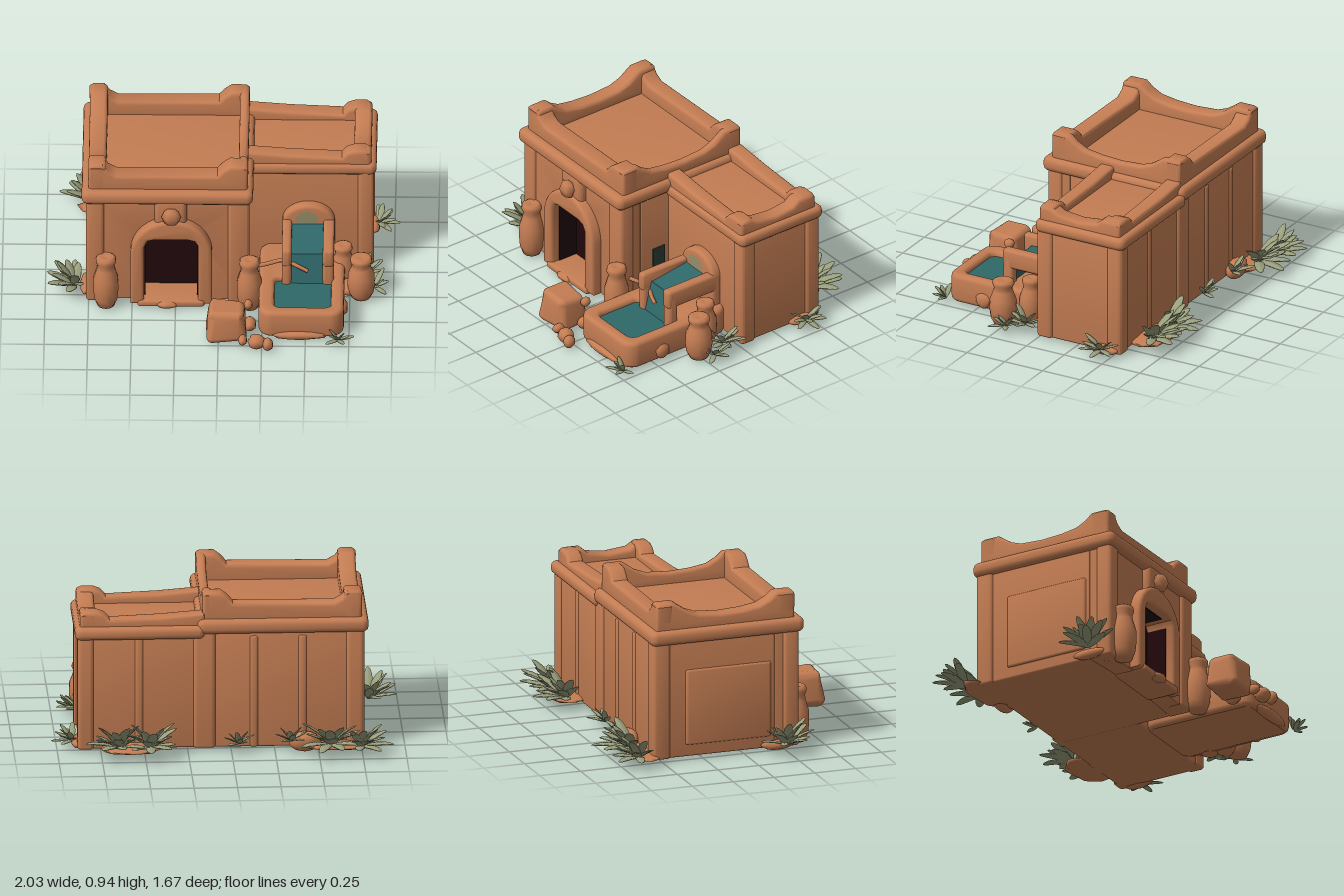
import * as THREE from 'three';
import { toCreasedNormals, mergeVertices } from 'three/addons/utils/BufferGeometryUtils.js';
import { RoundedBoxGeometry } from 'three/addons/geometries/RoundedBoxGeometry.js';

export function createModel() {
  const root = new THREE.Group();
  root.name = 'adobeHouse';
  const mat = (name, color) => {
    const m = new THREE.MeshStandardMaterial({ color });
    m.name = name;
    return m;
  };
  const clay = mat('clay', 0xc47d53), dark = mat('doorwayDark', 0x20080c), shade = mat('recessShade', 0x2d3a36);
  const water = mat('water', 0x2f6869), leaf = mat('sageLeaf', 0x9a9f7c), moss = mat('moss', 0x968d68);

  const add = (name, geo, m = clay, parent = root) => {
    const mesh = new THREE.Mesh(geo, m);
    mesh.name = name;
    parent.add(mesh);
    return mesh;
  };
  // Softly bevelled extrusion of a shape, starting at depth 0
  const soft = (shape, depth, b) => toCreasedNormals(new THREE.ExtrudeGeometry(shape, {
    depth: depth - 2 * b, bevelSize: b, bevelThickness: b, bevelOffset: -b, bevelSegments: 3, curveSegments: 8,
  }).translate(0, 0, b), 0.75);
  const rounded = (x0, x1, z0, z1, r, S = THREE.Shape) => {
    const s = new S(), y0 = -z1, y1 = -z0;
    s.moveTo(x0 + r, y0).lineTo(x1 - r, y0).absarc(x1 - r, y0 + r, r, -Math.PI / 2, 0);
    s.lineTo(x1, y1 - r).absarc(x1 - r, y1 - r, r, 0, Math.PI / 2);
    s.lineTo(x0 + r, y1).absarc(x0 + r, y1 - r, r, Math.PI / 2, Math.PI);
    s.lineTo(x0, y0 + r).absarc(x0 + r, y0 + r, r, Math.PI, Math.PI * 1.5);
    return s;
  };
  // Rounded block given by its extents
  const slab = (name, x0, x1, y0, y1, z0, z1, r = 0.025, b = 0.012) =>
    add(name, soft(rounded(x0, x1, z0, z1, r), y1 - y0, b).rotateX(-Math.PI / 2).translate(0, y0, 0));
  const poly = pts => new THREE.Shape(pts.map(p => new THREE.Vector2(...p)));
  // Profile in x/y run along z, or profile in z/y run along x
  const alongZ = (name, shape, z0, z1, b = 0.02) => add(name, soft(shape, z1 - z0, b).translate(0, 0, z0));
  const alongX = (name, shape, x0, x1, b = 0.02) =>
    add(name, soft(shape, x1 - x0, b).rotateY(-Math.PI / 2).translate(x1, 0, 0));

  // Main block with a door opening in its front wall
  slab('mainBody', -0.75, 0.165, 0.03, 0.74, -0.545, 0.2);
  const opening = [[-0.12, 0.04], [-0.12, 0.44], [-0.14, 0.475], [-0.18, 0.485], [-0.37, 0.485], [-0.41, 0.475], [-0.43, 0.43], [-0.43, 0.04]];
  alongZ('frontWall', poly([[-0.75, 0.03], [-0.75, 0.74], [0.165, 0.74], [0.165, 0.03], ...opening]), 0.19, 0.32, 0.004);
  add('doorwayShade', new THREE.BoxGeometry(0.32, 0.46, 0.008).translate(-0.275, 0.27, 0.205), dark);
  for (const x of [-0.428, -0.122])
    add('doorwayLining', new THREE.BoxGeometry(0.009, 0.38, 0.13).translate(x, 0.25, 0.265), dark);
  add('doorwayLining', new THREE.BoxGeometry(0.21, 0.009, 0.13).translate(-0.275, 0.482, 0.265), dark);
  slab('doorStep', -0.47, -0.08, 0.03, 0.07, 0.19, 0.395);
  const arch = new THREE.Shape();
  arch.moveTo(-0.04, 0.04).lineTo(-0.04, 0.38).absarc(-0.275, 0.38, 0.235, 0, Math.PI).lineTo(-0.51, 0.04);
  [...opening].reverse().forEach(p => arch.lineTo(...p));
  alongZ('doorArch', arch, 0.29, 0.385, 0.02);
  slab('keystone', -0.37, -0.185, 0.56, 0.74, 0.28, 0.365, 0.03);
  add('doorOrnament', new THREE.SphereGeometry(0.057, 6, 4).scale(1, 1, 0.75).translate(-0.275, 0.655, 0.385));

  // Corner pilasters and back ribs
  for (const [x0, x1, z0, z1, top] of [
    [-0.765, -0.66, 0.24, 0.338, 0.74], [0.05, 0.175, 0.24, 0.338, 0.74],
    [-0.765, -0.66, -0.56, -0.45, 0.74], [0.09, 0.22, -0.56, -0.5, 0.74],
    [0.79, 0.885, -0.1, 0.002, 0.72], [0.79, 0.885, -0.56, -0.46, 0.72],
    [-0.44, -0.38, -0.553, -0.5, 0.7], [-0.16, -0.1, -0.553, -0.5, 0.7], [0.5, 0.56, -0.553, -0.5, 0.7],
  ]) slab('pilaster', x0, x1, 0.03, top, z0, z1);
  slab('leftPanel', -0.762, -0.7, 0.1, 0.55, -0.36, 0.17);

  // Side block
  slab('sideBody', 0.15, 0.87, 0.03, 0.72, -0.545, -0.01);

  // Cornices double as the roof floors
  slab('mainCornice', -0.79, 0.195, 0.715, 0.8, -0.575, 0.365, 0.04, 0.03);
  slab('sideCornice', 0.15, 0.9, 0.69, 0.765, -0.58, 0.012, 0.04, 0.028);

  // Parapets swept up to raised corners
  const mainFront = poly([[-0.75, 0.78], [-0.755, 0.94], [-0.735, 0.955], [-0.67, 0.955], [-0.635, 0.91], [-0.59, 0.885],
    [-0.01, 0.89], [0.02, 0.925], [0.06, 0.955], [0.145, 0.955], [0.165, 0.94], [0.165, 0.78]]);
  alongZ('mainFrontParapet', mainFront, 0.2, 0.315);
  alongZ('mainBackParapet', mainFront, -0.535, -0.43);
  const mainSide = poly([[0.315, 0.78], [0.315, 0.94], [0.29, 0.955], [0.2, 0.955], [0.16, 0.92], [0.1, 0.888], [0, 0.872],
    [-0.13, 0.865], [-0.27, 0.874], [-0.34, 0.9], [-0.42, 0.955], [-0.51, 0.955], [-0.535, 0.94], [-0.535, 0.78]]);
  alongX('mainLeftParapet', mainSide, -0.752, -0.65);
  alongX('mainRightParapet', mainSide, 0.11, 0.165);
  const sideFront = poly([[0.15, 0.74], [0.15, 0.835], [0.4, 0.815], [0.7, 0.802], [0.73, 0.835], [0.77, 0.85],
    [0.84, 0.85], [0.868, 0.83], [0.87, 0.74]]);
  alongZ('sideFrontParapet', sideFront, -0.1, -0.005);
  alongZ('sideBackParapet', sideFront, -0.54, -0.44);
  alongX('sideEndParapet', poly([[-0.005, 0.74], [-0.005, 0.83], [-0.03, 0.847], [-0.08, 0.847], [-0.13, 0.815], [-0.26, 0.8],
    [-0.38, 0.815], [-0.42, 0.847], [-0.51, 0.847], [-0.54, 0.83], [-0.54, 0.74]]), 0.77, 0.87);

  // Pool with a solid ledge behind the basin
  const rim = rounded(0.23, 0.72, -0.03, 0.69, 0.08);
  rim.holes.push(rounded(0.32, 0.645, 0.32, 0.615, 0.04, THREE.Path));
  add('poolWall', soft(rim, 0.17, 0.025).rotateX(-Math.PI / 2).translate(0, 0.03, 0));
  slab('poolFloor', 0.26, 0.69, 0.025, 0.08, 0, 0.66);
  add('poolWater', new THREE.BoxGeometry(0.36, 0.008, 0.33).translate(0.482, 0.165, 0.465), water);

  // Fountain: arched niche, raised channel and falling water
  const niche = new THREE.Shape();
  niche.moveTo(0.36, 0.15).lineTo(0.66, 0.15).lineTo(0.66, 0.38).absellipse(0.51, 0.38, 0.15, 0.12, 0, Math.PI).lineTo(0.36, 0.15);
  alongZ('fountainNiche', niche, -0.03, 0.045);
  add('mossPatch', new THREE.CircleGeometry(0.068, 9).scale(1, 0.8, 1).translate(0.5, 0.41, 0.048), moss);
  slab('channelBed', 0.38, 0.64, 0.28, 0.325, 0, 0.29);
  for (const [x0, x1] of [[0.36, 0.415], [0.595, 0.66]]) {
    slab('channelRail', x0, x1, 0.29, 0.405, 0, 0.36, 0.02, 0.018);
    slab('channelPost', x0, x1, 0.08, 0.36, 0.29, 0.355, 0.02);
  }
  add('channelWater', new THREE.BoxGeometry(0.19, 0.008, 0.25).rotateX(0.15).translate(0.505, 0.355, 0.17), water);
  add('waterfall', new THREE.BoxGeometry(0.185, 0.2, 0.009).rotateX(-0.25).translate(0.505, 0.245, 0.32), water);
  const pipe = new THREE.CatmullRomCurve3([[0.16, 0.225, 0.27], [0.27, 0.255, 0.275], [0.37, 0.285, 0.28], [0.45, 0.28, 0.33], [0.51, 0.255, 0.345]]
    .map(p => new THREE.Vector3(...p)));
  add('spoutBranch', new THREE.TubeGeometry(pipe, 16, 0.012, 6));
  add('wallRecess', new THREE.BoxGeometry(0.008, 0.2, 0.085).translate(0.167, 0.26, 0.06), shade);

  // Clay jars
  const jar = (x, z, r, h) => {
    const prof = [[0, 0], [0.68, 0], [0.92, 0.15], [1, 0.35], [0.97, 0.55], [0.72, 0.74], [0.66, 0.82], [0.8, 0.9], [0.76, 0.97], [0.55, 1], [0.25, 0.985], [0, 0.975]];
    add('jar', new THREE.LatheGeometry(prof.map(p => new THREE.Vector2(p[0] * r, p[1] * h)), 14)).position.set(x, 0.025, z);
  };
  jar(-0.65, 0.36, 0.074, 0.335);
  jar(0.175, 0.37, 0.074, 0.33);
  jar(0.815, 0.26, 0.08, 0.275);
  jar(0.71, 0.135, 0.068, 0.275);

  // Lumpy stones
  const lumpy = (geo, amt) => {
    geo.deleteAttribute('normal');
    geo.deleteAttribute('uv');
    const g = mergeVertices(geo, 1e-4), p = g.attributes.position;
    for (let i = 0; i < p.count; i++) {
      const [x, y, z] = [p.getX(i), p.getY(i), p.getZ(i)];
      const k = 1 + amt * Math.sin(31 * x + 9 * z) * Math.cos(27 * y - 17 * z);
      p.setXYZ(i, x * k, y * k, z * k);
    }
    g.computeVertexNormals();
    return g;
  };
  const block = add('stoneBlock', lumpy(new RoundedBoxGeometry(0.22, 0.2, 0.19, 4, 0.04), 0.12));
  block.position.set(0.045, 0.125, 0.655);
  for (const [x, y, z, sx, sy, sz] of [
    [0.22, 0.055, 0.77, 0.05, 0.045, 0.045], [0.285, 0.055, 0.795, 0.03, 0.04, 0.035], [0.18, 0.06, 0.6, 0.035, 0.04, 0.05],
    [0.14, 0.06, 0.76, 0.025, 0.03, 0.04], [0.17, 0.19, 0.59, 0.025, 0.03, 0.03],
    [-0.3, 0.045, 0.385, 0.06, 0.025, 0.035], [-0.42, 0.07, -0.58, 0.09, 0.06, 0.05], [0.58, 0.05, -0.6, 0.17, 0.02, 0.12],
    [-0.62, 0.045, -0.58, 0.2, 0.02, 0.09], [0.46, 0.045, 0.68, 0.16, 0.03, 0.035], [0.75, 0.06, 0.22, 0.06, 0.045, 0.07],
    [0.71, 0.08, 0.45, 0.03, 0.05, 0.05], [-0.77, 0.05, 0.2, 0.03, 0.03, 0.1], [0.88, 0.045, -0.44, 0.035, 0.03, 0.1],
  ]) add('stone', lumpy(new THREE.IcosahedronGeometry(1, 2), 0.1).scale(sx, sy, sz)).position.set(x, y, z);

  // Leafy succulents: broad curved blades fanned around a facing direction
  let seed = 7;
  const rnd = () => (seed = (seed * 16807) % 2147483647) / 2147483647;
  const blade = (len, w) => {
    const g = new THREE.SphereGeometry(1, 6, 6).scale(w * 0.25, len / 2, w).translate(0, len / 2, 0);
    const p = g.attributes.position;
    for (let i = 0; i < p.count; i++) p.setX(i, p.getX(i) + 1.4 * p.getY(i) ** 2);
    g.computeVertexNormals();
    return g;
  };
  const plant = (x, z, facing, spread, n, len, y = 0.06, lean = 0.45) => {
    const g = new THREE.Group();
    g.name = 'succulent';
    g.position.set(x, y, z);
    for (let i = 0; i < n; i++) {
      const b = add('leafBlade', blade(len * (0.75 + 0.35 * rnd()), len * 0.17), leaf, g);
      const u = (i + 0.5) / n * 2 - 1;
      b.rotation.set(0, facing + u * spread, -(lean + 0.33 * (i % 3) + 0.15 * rnd()));
    }
    root.add(g);
  };
  const H = Math.PI / 2;
  plant(-0.83, 0.23, Math.PI, 2, 14, 0.18, 0.06, 0.3);
  plant(-0.57, -0.63, H, 1.5, 14, 0.2);
  plant(-0.74, -0.64, H + 0.6, 1.3, 11, 0.18, 0.05);
  plant(-0.34, -0.6, H, 1.6, 8, 0.12, 0.08);
  plant(-0.04, -0.58, H, 1.6, 8, 0.11);
  plant(0.47, -0.64, H + 0.3, 1.5, 14, 0.2, 0.06, 0.35);
  plant(0.65, -0.64, H - 0.2, 1.5, 14, 0.2, 0.06, 0.35);
  plant(0.91, -0.44, 0, 1.8, 11, 0.12, 0.05, 0.6);
  plant(0.83, 0.1, 0, 2, 12, 0.13, 0.06);
  plant(0.89, 0.2, -0.2, 1.8, 8, 0.11, 0.05, 0.6);
  plant(0.69, 0.71, -H, 1.8, 9, 0.1, 0.03);
  plant(0.27, 0.76, -H, 1.8, 4, 0.06, 0.03);

  return root;
}
